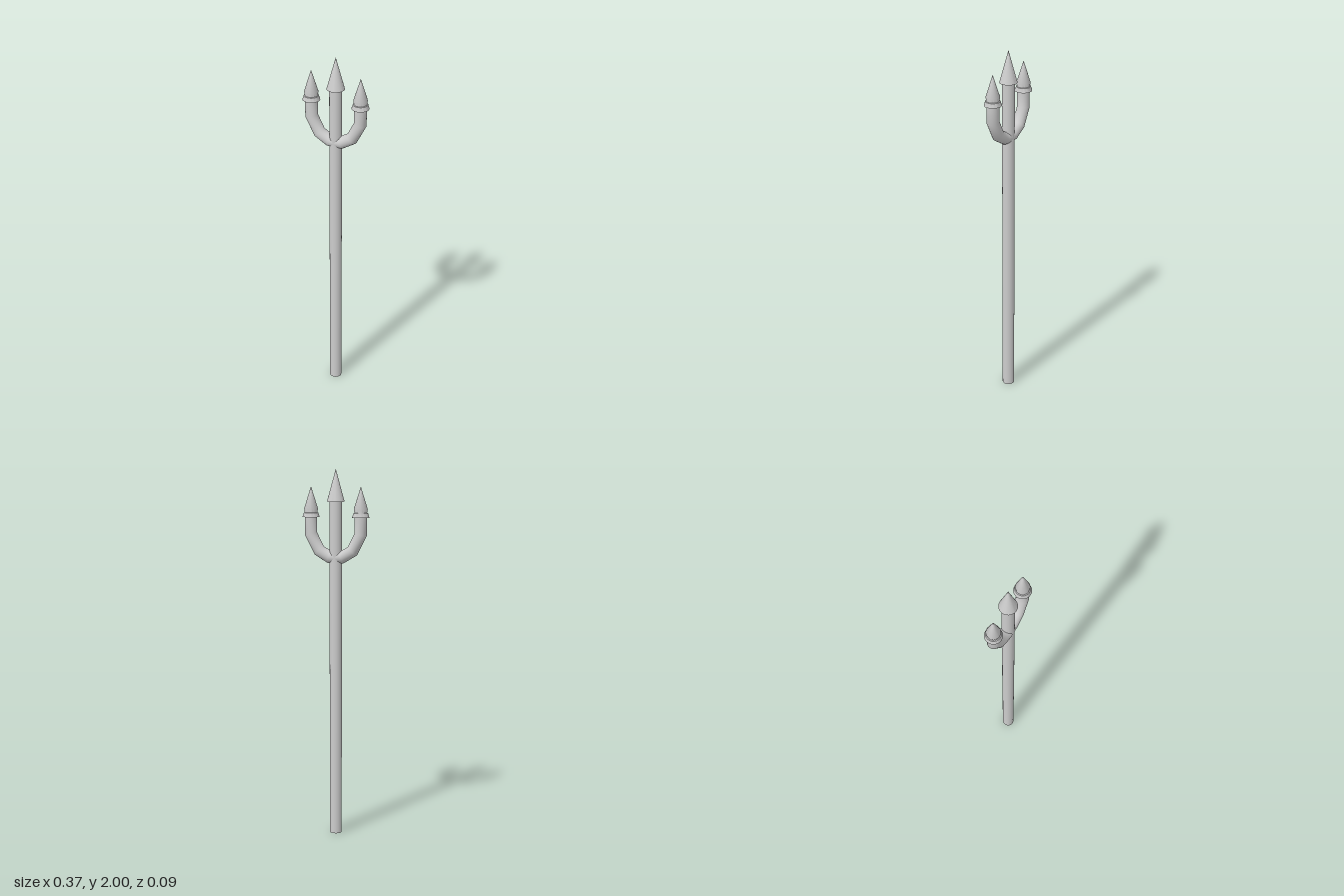
import * as THREE from 'three';
import { toCreasedNormals } from 'three/addons/utils/BufferGeometryUtils.js';

const SIDES = 32;
const ROD = 0.033;

// Coarse path that bends exactly at its given points
class BentPath extends THREE.Curve {
  constructor(points) {
    super();
    this.points = points;
  }
  getPointAt(t, target = new THREE.Vector3()) {
    return target.copy(this.points[Math.round(t * (this.points.length - 1))]);
  }
  getTangentAt(t, target = new THREE.Vector3()) {
    const p = this.points, n = p.length - 1, i = Math.round(t * n);
    target.set(0, 0, 0);
    if (i > 0) target.add(p[i].clone().sub(p[i - 1]).normalize());
    if (i < n) target.add(p[i + 1].clone().sub(p[i]).normalize());
    return target.normalize();
  }
}

export function createModel() {
  const group = new THREE.Group();
  const material = new THREE.MeshStandardMaterial({ color: 0xcccccc });

  const add = (name, geometry, x = 0, y = 0) => {
    const mesh = new THREE.Mesh(geometry, material);
    mesh.name = name;
    mesh.position.set(x, y, 0);
    group.add(mesh);
  };
  const turned = (profile) => toCreasedNormals(
    new THREE.LatheGeometry(profile.map(([r, y]) => new THREE.Vector2(r, y)), SIDES), 0.5);

  // Shaft and its plain cone point
  add('shaft', new THREE.CylinderGeometry(ROD, ROD, 1.84, SIDES), 0, 0.92);
  add('centerTip', turned([[0, 1.828], [0.047, 1.828], [0, 2]]));

  // Curved side prongs, each with a grooved point
  const barbedTip = turned([
    [0, 1.745], [0.046, 1.745], [0.039, 1.768], [0.034, 1.77], [0.037, 1.79], [0, 1.908],
  ]);
  for (const [side, s] of [['left', 1], ['right', -1]]) {
    const path = [[0, 1.53], [0.035, 1.533], [0.092, 1.567], [0.137, 1.655], [0.137, 1.75]]
      .map(([x, y]) => new THREE.Vector3(s * x, y, 0));
    add(side + 'Prong', new THREE.TubeGeometry(new BentPath(path), path.length - 1, ROD, SIDES));
    add(side + 'Tip', barbedTip, s * 0.137);
  }
  return group;
}
